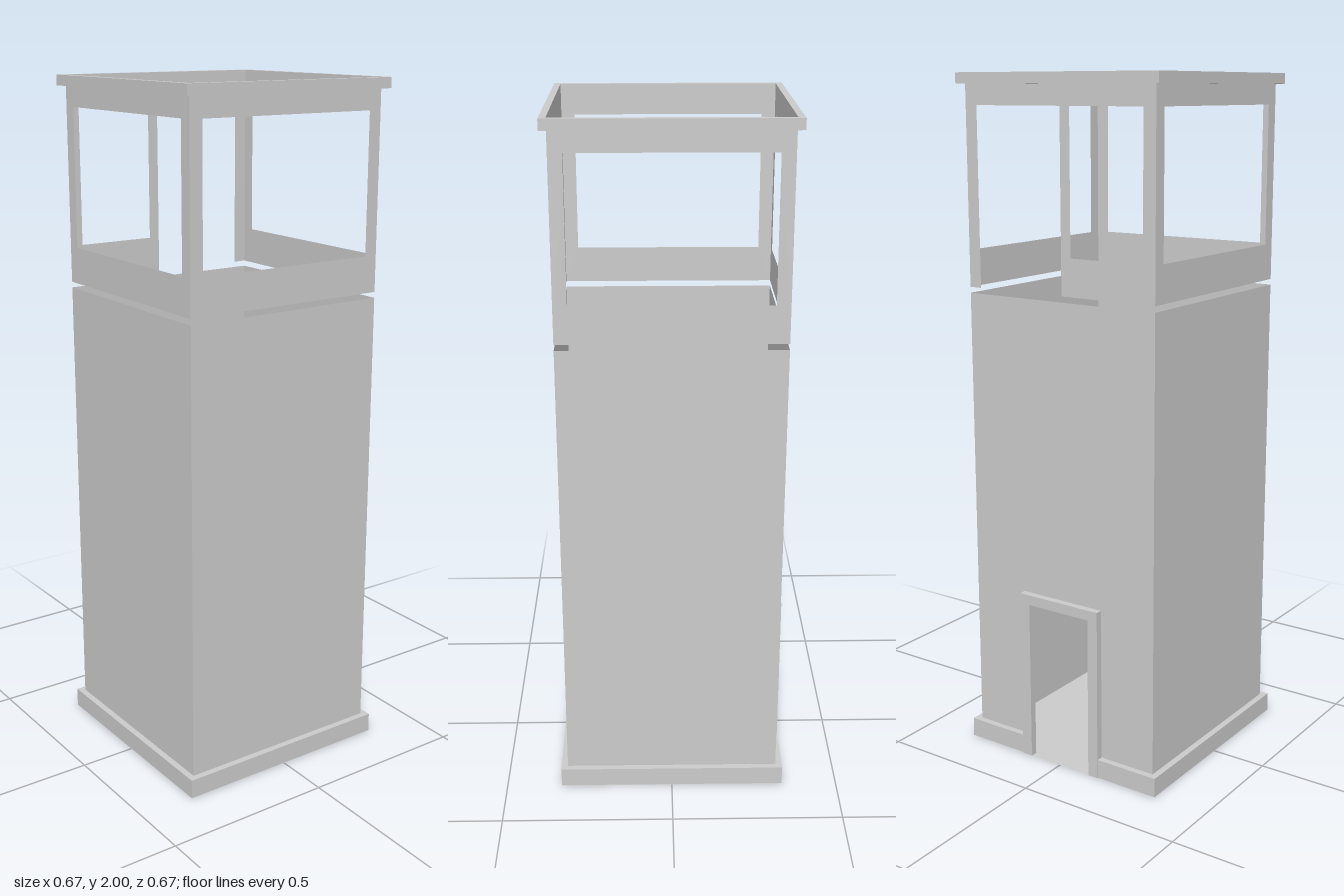
import * as THREE from 'three';

const W = 0.316;   // half width of the walls
const R = 0.335;   // half width of the base and top rim
const DOOR = 0.105, FRAME = 0.138; // half widths of door opening and its frame

const solid = new THREE.MeshStandardMaterial({ color: 0xcccccc, flatShading: true });
const thin = new THREE.MeshStandardMaterial({ color: 0xcccccc, flatShading: true, side: THREE.DoubleSide });

const poly = (pts) => new THREE.Shape(pts.map(([x, y]) => new THREE.Vector2(x, y)));
const rect = (x0, y0, x1, y1) => poly([[x0, y0], [x1, y0], [x1, y1], [x0, y1]]);

function add(parent, name, geometry, material) {
  const mesh = new THREE.Mesh(geometry, material);
  mesh.name = name;
  parent.add(mesh);
  return mesh;
}

// Sheet wall facing outward; turn counts quarter turns from the front
function addWall(parent, name, shape, turn) {
  const geometry = new THREE.ShapeGeometry(shape);
  geometry.translate(0, 0, W);
  geometry.rotateY(turn * Math.PI / 2);
  add(parent, name, geometry, thin);
}

// Plan outline (x, z) raised from y0 to y1
function addSlab(parent, name, shape, y0, y1) {
  const geometry = new THREE.ExtrudeGeometry(shape, { depth: y1 - y0, bevelEnabled: false });
  geometry.rotateX(-Math.PI / 2);
  geometry.translate(0, y0, 0);
  add(parent, name, geometry, solid);
}

export function createModel() {
  const model = new THREE.Group();
  model.name = 'watchtower';

  // Floor sheet and the plinth, left open behind the door
  const floor = new THREE.PlaneGeometry(2 * R, 2 * R).rotateX(-Math.PI / 2);
  add(model, 'floor', floor, thin);
  // In the plan outline, +y becomes the back (-z)
  addSlab(model, 'plinth', poly([
    [-FRAME, R], [-R, R], [-R, -R], [R, -R], [R, R], [FRAME, R],
    [FRAME, W], [W, W], [W, -W], [-W, -W], [-W, W], [-FRAME, W],
  ]), 0.001, 0.058);

  // Shaft walls, the back one with a doorway
  const shaft = new THREE.Group();
  shaft.name = 'shaft';
  model.add(shaft);
  const doorTop = 0.485, shaftTop = 1.387;
  ['frontWall', 'leftWall', 'backWall', 'rightWall'].forEach((name, i) => {
    const shape = i === 2
      ? poly([[-W, 0], [-DOOR, 0], [-DOOR, doorTop], [DOOR, doorTop], [DOOR, 0],
        [W, 0], [W, shaftTop], [-W, shaftTop]])
      : rect(-W, 0, W, shaftTop);
    addWall(shaft, name, shape, i);
  });

  // Door surround on the back
  const surround = new THREE.ExtrudeGeometry(poly([
    [-FRAME, 0], [-DOOR, 0], [-DOOR, doorTop], [DOOR, doorTop], [DOOR, 0],
    [FRAME, 0], [FRAME, 0.515], [-FRAME, 0.515],
  ]), { depth: 0.337 - W, bevelEnabled: false });
  surround.translate(0, 0, -0.337);
  add(model, 'doorSurround', surround, solid);

  // Open cab, raised clear of the shaft, with a window on each side
  const cab = new THREE.Group();
  cab.name = 'cab';
  model.add(cab);
  const y0 = 1.404, sill = 1.51, head = 1.912, y1 = 1.972, win = 0.277;
  ['cabFront', 'cabLeft', 'cabBack', 'cabRight'].forEach((name, i) => {
    let shape;
    if (i === 2) {
      // Back: doorway on the left side, window beside it (local x is mirrored)
      shape = poly([[-W, y0], [-win, y0], [-win, head], [0.01, head], [0.01, y0],
        [W, y0], [W, y1], [-W, y1]]);
      shape.holes.push(rect(0.042, sill, win, head));
    } else {
      shape = rect(-W, y0, W, y1);
      shape.holes.push(rect(-win, sill, win, head));
    }
    addWall(cab, name, shape, i);
  });

  // Rim around the top
  const rim = rect(-R, -R, R, R);
  rim.holes.push(rect(-W, -W, W, W));
  addSlab(model, 'topRim', rim, 1.97, 2.0);

  return model;
}
